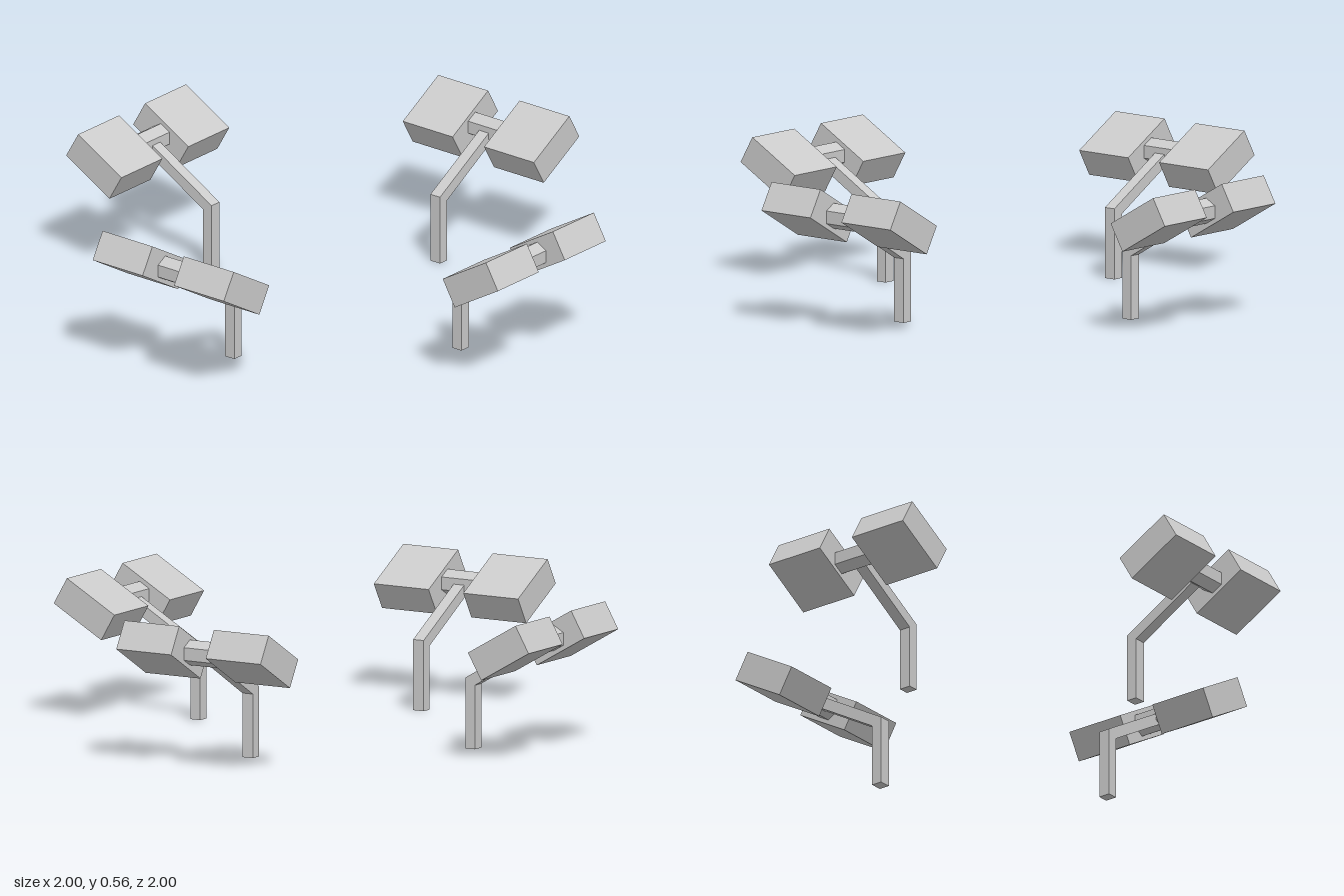
import * as THREE from 'three';

const material = new THREE.MeshStandardMaterial({ color: 0xcccccc, flatShading: true });

function addMesh(parent, name, geometry) {
  const mesh = new THREE.Mesh(geometry, material);
  mesh.name = name;
  parent.add(mesh);
  return mesh;
}

// One twin-lamp stand: local +x points outward, z runs sideways
function createStand() {
  const stand = new THREE.Group();

  // Upright post with a mitred bend into the sloping arm
  const outline = new THREE.Shape([
    [0.605, 0], [0.649, 0], [0.649, 0.252], [0.953, 0.431], [0.931, 0.469], [0.605, 0.278],
  ].map(([x, y]) => new THREE.Vector2(x, y)));
  const width = 0.048;
  const post = new THREE.ExtrudeGeometry(outline, { depth: width, bevelEnabled: false });
  post.translate(0, 0, -width / 2);
  addMesh(stand, 'bentPost', post);

  // Six-sided crossbar joining the two heads
  const bar = addMesh(stand, 'crossbar', new THREE.CylinderGeometry(0.05, 0.05, 0.2, 6));
  bar.rotation.x = Math.PI / 2;
  bar.position.set(0.945, 0.45, 0);

  // Pair of box heads, tilted up along the arm
  for (const side of [-1, 1]) {
    const head = addMesh(stand, side > 0 ? 'headA' : 'headB', new THREE.BoxGeometry(0.25, 0.12, 0.25));
    head.rotation.z = Math.PI / 6;
    head.position.set(0.945, 0.45, side * 0.204);
  }
  return stand;
}

export function createModel() {
  const model = new THREE.Group();
  model.name = 'lampStands';
  // One stand on each diagonal, facing outward
  ['frontLeftStand', 'backLeftStand', 'backRightStand', 'frontRightStand'].forEach((name, i) => {
    const stand = createStand();
    stand.name = name;
    stand.rotation.y = -Math.PI / 4 + i * Math.PI / 2;
    model.add(stand);
  });
  return model;
}
